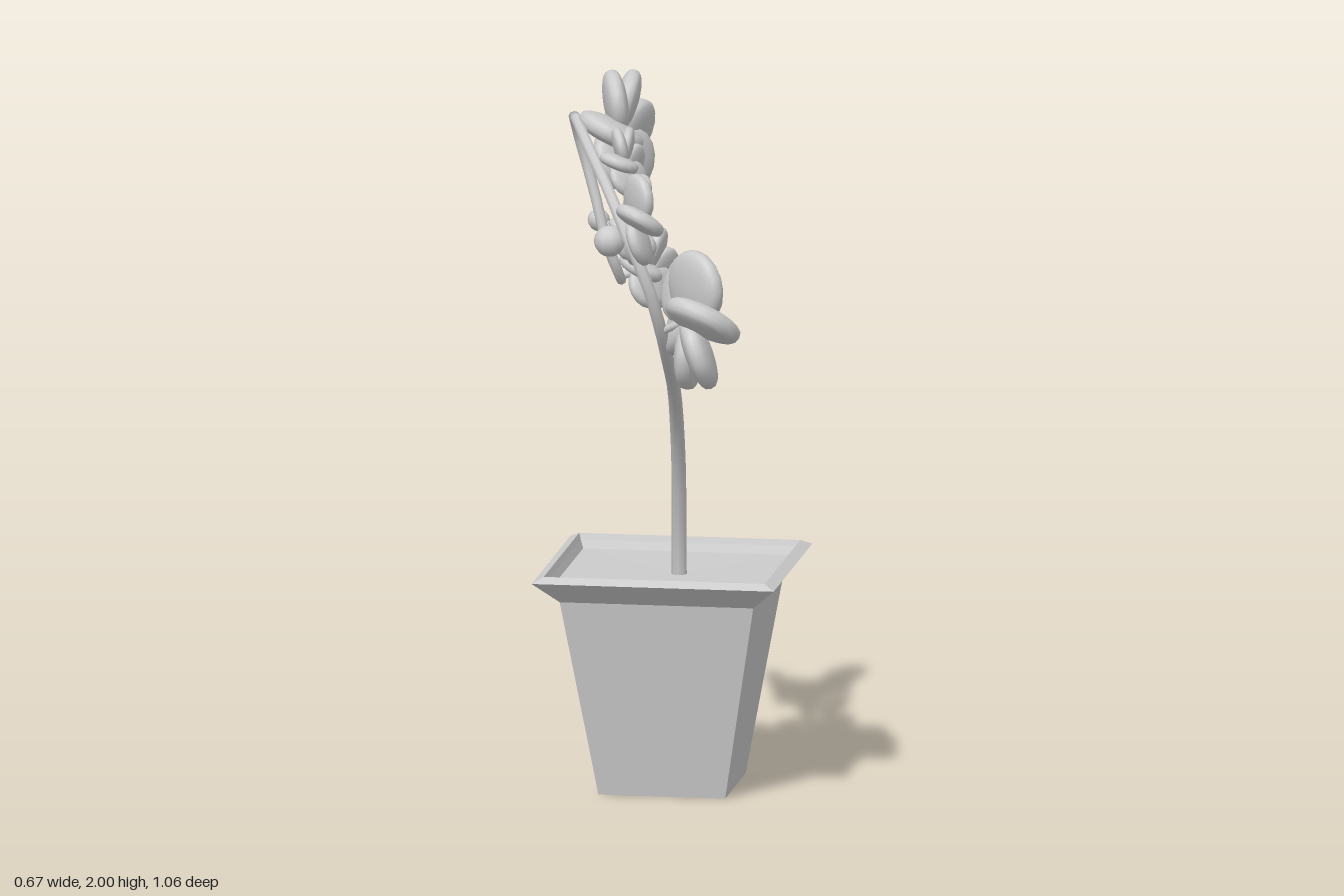
import * as THREE from 'three';

const smooth = new THREE.MeshStandardMaterial({ color: 0xcccccc });
const faceted = new THREE.MeshStandardMaterial({ color: 0xcccccc, flatShading: true });
const vec = (p) => new THREE.Vector3(...p);

function part(name, geometry, material = smooth) {
  const mesh = new THREE.Mesh(geometry, material);
  mesh.name = name;
  return mesh;
}

// Tube that narrows from r0 to r1 along its length
function taperedTube(points, r0, r1, segments) {
  const curve = new THREE.CatmullRomCurve3(points.map(vec));
  const geo = new THREE.TubeGeometry(curve, segments, r0, 8);
  const pos = geo.attributes.position;
  const v = new THREE.Vector3();
  for (let i = 0; i <= segments; i++) {
    const c = curve.getPointAt(i / segments);
    const s = THREE.MathUtils.lerp(1, r1 / r0, i / segments);
    for (let j = 0; j <= 8; j++) {
      const k = i * 9 + j;
      v.fromBufferAttribute(pos, k).sub(c).multiplyScalar(s).add(c);
      pos.setXYZ(k, v.x, v.y, v.z);
    }
  }
  return geo;
}

// Cushion-like petal: a flattened ball with a full, blunt rim
function petalGeometry(r) {
  const geo = new THREE.SphereGeometry(1, 16, 12);
  geo.rotateX(Math.PI / 2);
  const pos = geo.attributes.position;
  for (let i = 0; i < pos.count; i++) {
    const z = pos.getZ(i);
    pos.setZ(i, Math.sign(z) * Math.abs(z) ** 0.7);
  }
  geo.scale(r * 0.5, r * 0.51, r * 0.18);
  geo.translate(r * 0.51, 0, 0);
  geo.computeVertexNormals();
  return geo;
}

// Six overlapping petals in a pinwheel; the first stands almost on edge as a lip
function makeFlower({ at, facing, r }) {
  const flower = new THREE.Group();
  flower.name = 'flower';
  flower.position.set(...at);
  flower.lookAt(vec(at).add(vec(facing)));
  const petalGeo = petalGeometry(r);
  for (let i = 0; i < 6; i++) {
    const petal = part(i === 0 ? 'lipPetal' : 'petal', petalGeo);
    const angle = THREE.MathUtils.degToRad(170 - i * 60);
    petal.rotation.set(i === 0 ? 1.05 : 0.42, -0.12, angle, 'ZYX');
    if (i === 0) petal.scale.setScalar(1.06);
    flower.add(petal);
  }
  return flower;
}

export function createModel() {
  const model = new THREE.Group();
  model.name = 'pottedFlower';

  // Square pot with flared rim and soil surface
  const profile = [[0, 0], [0.175, 0], [0.267, 0.55], [0.334, 0.612], [0.305, 0.627],
    [0.3, 0.61], [0.292, 0.587], [0, 0.585]];
  const potGeo = new THREE.LatheGeometry(
    profile.map(([x, y]) => new THREE.Vector2(x * Math.SQRT2, y)), 4, Math.PI / 4);
  const pot = part('pot', potGeo, faceted);
  pot.position.z = -0.2;
  model.add(pot);

  // Arching stem, over the top and down to the tip
  model.add(part('stem', taperedTube([
    [0.02, 0.57, -0.2], [0.02, 0.66, -0.195], [0.03, 0.88, -0.13], [0.04, 1.05, -0.03],
    [0.05, 1.16, 0.08], [0.055, 1.25, 0.2], [0.05, 1.36, 0.3], [0.02, 1.5, 0.35],
    [-0.04, 1.63, 0.33], [-0.1, 1.73, 0.25], [-0.17, 1.81, 0.12], [-0.23, 1.86, -0.03],
    [-0.26, 1.87, -0.13], [-0.25, 1.79, -0.175], [-0.21, 1.65, -0.17], [-0.17, 1.5, -0.15],
    [-0.14, 1.41, -0.18], [-0.15, 1.39, -0.25], [-0.19, 1.43, -0.36], [-0.25, 1.5, -0.5],
  ], 0.021, 0.013, 32)));

  // Flowers, with a stalk from the stem to the back of each
  const flowers = [
    { at: [0.13, 1.4, 0.33], facing: [0.93, 0, -0.4], r: 0.205, from: [0.05, 1.36, 0.3] },
    { at: [-0.02, 1.67, 0.31], facing: [0.9, 0, -0.2], r: 0.135, from: [-0.07, 1.68, 0.3] },
    { at: [-0.08, 1.79, 0.13], facing: [0.9, 0.2, 0.15], r: 0.105, from: [-0.17, 1.8, 0.12] },
    { at: [-0.14, 1.82, -0.155], facing: [0.9, 0.1, 0.15], r: 0.18, from: [-0.25, 1.84, -0.15] },
    { at: [-0.11, 1.55, -0.14], facing: [0.9, 0, 0.2], r: 0.09, from: [-0.18, 1.54, -0.16] },
    { at: [-0.08, 1.41, -0.31], facing: [0.9, 0.1, 0.3], r: 0.12, from: [-0.16, 1.39, -0.27] },
  ];
  for (const f of flowers) {
    model.add(makeFlower(f));
    model.add(part('stalk', taperedTube([f.from, f.at], 0.011, 0.009, 2)));
  }

  // Closed buds
  const buds = [[-0.25, 1.5, -0.5, 0.031], [-0.2, 1.49, -0.44, 0.025],
    [-0.105, 1.59, 0.22, 0.043], [0, 1.59, 0.28, 0.035]];
  for (const [x, y, z, r] of buds) {
    const bud = part('bud', new THREE.SphereGeometry(r, 10, 8));
    bud.position.set(x, y, z);
    model.add(bud);
  }
  return model;
}
